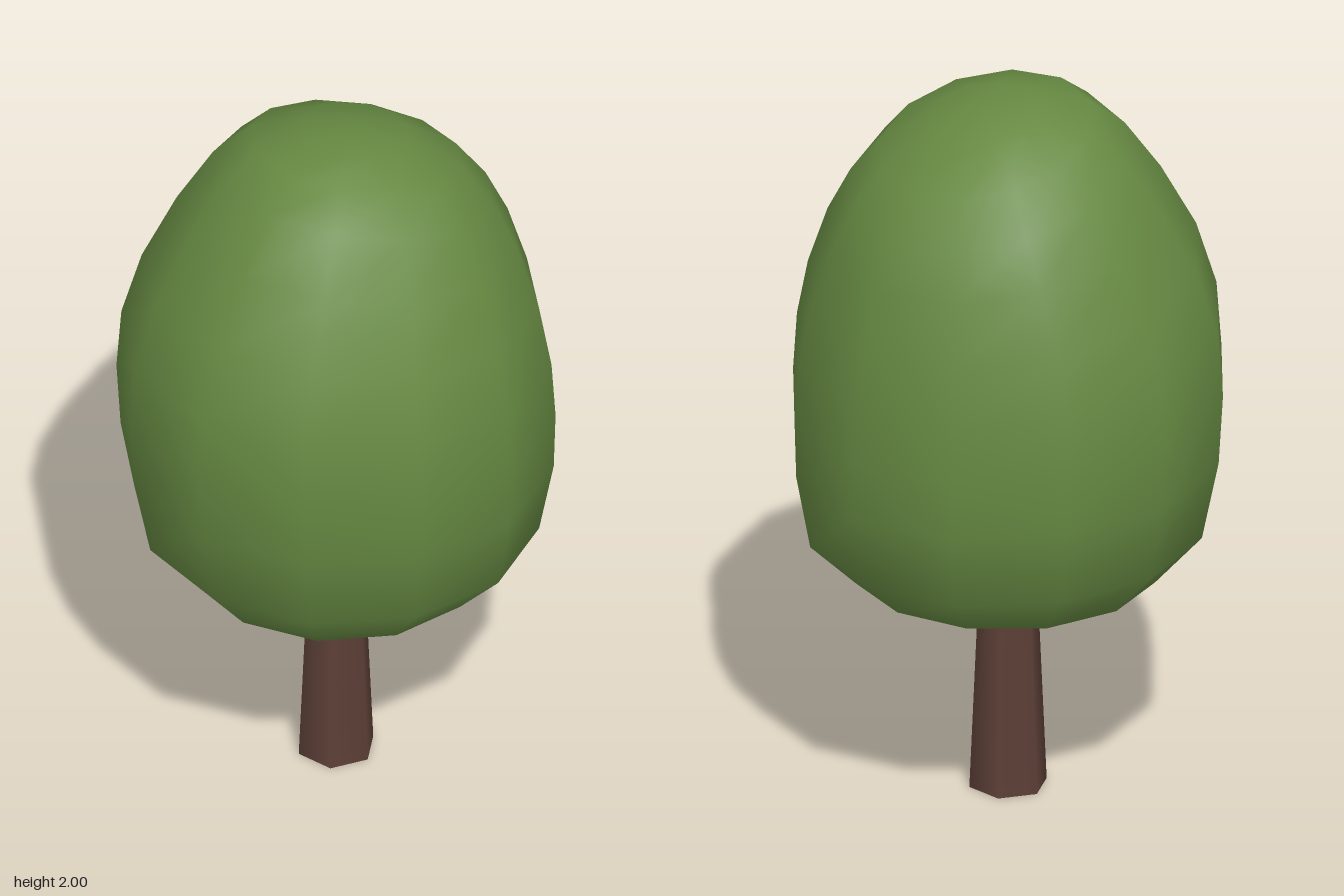
import * as THREE from 'three';

const SIDES = 12;

// Crown rings from rim to top: [height, radius, centre z, rise towards the front]
const RINGS = [
  [0.63, 0.408, -0.01, 0],
  [0.765, 0.535, -0.01, 0.015],
  [0.98, 0.577, -0.005, 0.025],
  [1.16, 0.585, 0, 0.045],
  [1.33, 0.573, -0.002, 0.06],
  [1.5, 0.53, -0.02, 0.075],
  [1.675, 0.455, -0.05, 0.085],
  [1.81, 0.375, -0.075, 0.095],
  [1.905, 0.285, -0.085, 0.075],
  [1.968, 0.145, -0.09, 0.033],
];
const APEX = [0, 1.985, -0.085];

// Hollow crown: leaning rings joined by quads, closed by a fan at the top
function crownGeometry() {
  const positions = [];
  const index = [];
  for (const [y, r, cz, rise] of RINGS) {
    for (let i = 0; i < SIDES; i++) {
      const a = (i / SIDES) * Math.PI * 2;
      positions.push(r * Math.sin(a), y + rise * Math.cos(a), cz + r * Math.cos(a));
    }
  }
  positions.push(...APEX);
  const apex = RINGS.length * SIDES;
  for (let k = 0; k < RINGS.length; k++) {
    for (let i = 0; i < SIDES; i++) {
      const a = k * SIDES + i;
      const b = k * SIDES + ((i + 1) % SIDES);
      if (k === RINGS.length - 1) index.push(a, b, apex);
      else index.push(a, b, b + SIDES, a, b + SIDES, a + SIDES);
    }
  }
  const geometry = new THREE.BufferGeometry();
  geometry.setAttribute('position', new THREE.Float32BufferAttribute(positions, 3));
  geometry.setIndex(index);
  geometry.computeVertexNormals();
  return geometry;
}

export function createModel() {
  const leafGreen = new THREE.MeshStandardMaterial({ color: 0x668942, side: THREE.DoubleSide });
  leafGreen.name = 'leafGreen';
  const barkBrown = new THREE.MeshStandardMaterial({ color: 0x5d4037 });
  barkBrown.name = 'barkBrown';

  const tree = new THREE.Group();
  tree.name = 'tree';

  const crown = new THREE.Mesh(crownGeometry(), leafGreen);
  crown.name = 'crown';

  // Tapered six-sided trunk reaching up inside the crown
  const trunkHeight = 0.9;
  const trunk = new THREE.Mesh(
    new THREE.CylinderGeometry(0.066, 0.106, trunkHeight, 6).rotateY(Math.PI / 2),
    barkBrown
  );
  trunk.name = 'trunk';
  trunk.position.y = trunkHeight / 2;

  tree.add(trunk, crown);
  return tree;
}
